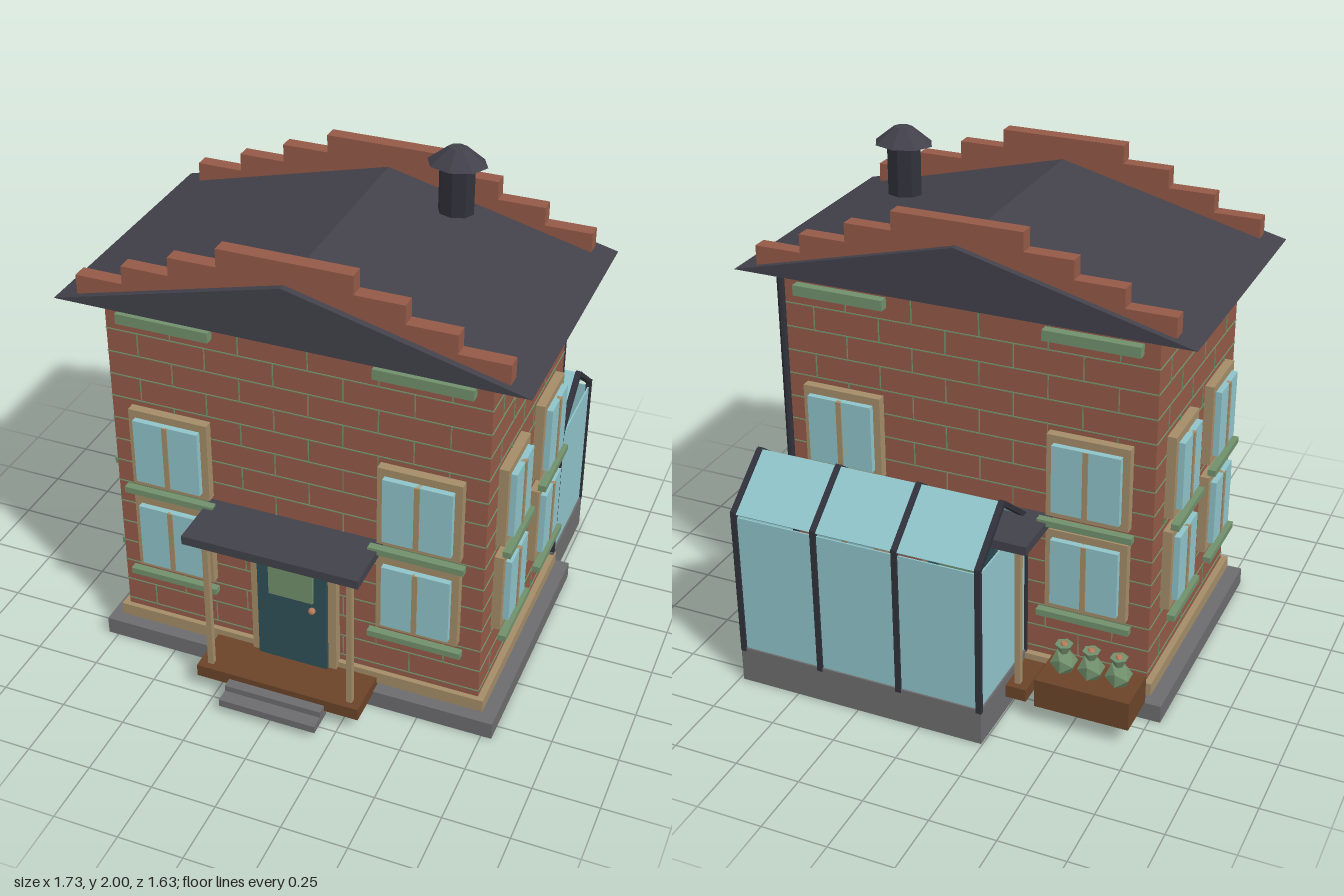
import * as THREE from 'three';

const mat = (name, color) => {
  const m = new THREE.MeshStandardMaterial({ color, flatShading: true });
  m.name = name;
  return m;
};

export function createModel() {
  const M = {
    brick: mat('brick red', 0x935947),
    slate: mat('slate grey', 0x42414b),
    iron: mat('dark iron', 0x30313a),
    tan: mat('tan timber', 0xa38c68),
    green: mat('sage green', 0x71906c),
    glass: mat('pale glass', 0x8ec3c9),
    door: mat('door teal', 0x2f5058),
    stone: mat('stone grey', 0x6c6c6e),
    wood: mat('brown wood', 0x6b4428),
    copper: mat('copper', 0xb57a5a),
  };
  const root = new THREE.Group();
  root.name = 'house';

  const add = (parent, name, geo, material) => {
    const m = new THREE.Mesh(geo, material);
    m.name = name;
    parent.add(m);
    return m;
  };
  // box given by its extents on each axis
  const box = (parent, name, material, [x0, x1], [y0, y1], [z0, z1]) => {
    const m = add(parent, name, new THREE.BoxGeometry(x1 - x0, y1 - y0, z1 - z0), material);
    m.position.set((x0 + x1) / 2, (y0 + y1) / 2, (z0 + z1) / 2);
    return m;
  };
  const group = (parent, name) => {
    const g = new THREE.Group();
    g.name = name;
    parent.add(g);
    return g;
  };

  // main body
  const W = 0.715, D = 0.45, CZ = 0.065;
  box(root, 'plinth', M.stone, [-0.79, 0.79], [0, 0.07], [-0.44, 0.57]);
  box(root, 'walls', M.brick, [-W, W], [0.09, 1.515], [CZ - D, CZ + D]);
  box(root, 'baseBand', M.tan, [-0.74, 0.74], [0.085, 0.135], [-0.41, 0.535]);

  // gabled roof
  const gable = new THREE.Shape([[-0.865, 1.515], [0.865, 1.515], [0, 1.735]].map(p => new THREE.Vector2(...p)));
  const roof = add(root, 'roof', new THREE.ExtrudeGeometry(gable, { depth: 1.065, bevelEnabled: false }), M.slate);
  roof.position.z = -0.467;

  // stepped parapets
  for (const z of [0.515, -0.442]) {
    const g = group(root, 'steppedParapet');
    [[0.245, 1.82], [0.425, 1.75], [0.605, 1.68], [0.785, 1.61]].forEach(([x, top], i) => {
      if (i === 0) return box(g, 'parapetCentre', M.brick, [-x, x], [1.53, top], [z, z + 0.057]);
      for (const s of [-1, 1]) {
        const a = s * (x - 0.18), b = s * x;
        box(g, 'parapetStep', M.brick, [Math.min(a, b), Math.max(a, b)], [1.53, top], [z, z + 0.057]);
      }
    });
  }

  // chimney pot
  const chimney = group(root, 'chimney');
  chimney.position.set(0.36, 0, -0.1);
  chimney.scale.z = 0.82;
  add(chimney, 'chimneyPipe', new THREE.CylinderGeometry(0.066, 0.066, 0.19, 8), M.iron).position.y = 1.85;
  add(chimney, 'chimneyCap', new THREE.CylinderGeometry(0.035, 0.11, 0.06, 8), M.slate).position.y = 1.97;

  // window in a wall's own frame: wall surface at z = 0, facing +z
  const addWindow = (g, cx, y, w) => {
    const h = w / 2, win = group(g, 'window');
    win.position.set(cx, y, 0);
    box(win, 'windowFrame', M.tan, [-h, h], [0.03, 0.355], [0, 0.035]);
    box(win, 'windowGlass', M.glass, [-h + 0.027, h - 0.027], [0.06, 0.325], [0.035, 0.058]);
    box(win, 'windowMullion', M.tan, [-0.01, 0.01], [0.06, 0.325], [0.035, 0.063]);
    box(win, 'windowSill', M.green, [-h - 0.023, h + 0.023], [0, 0.025], [0.035, 0.065]);
  };

  // thin mortar lines in a running bond
  const addMortar = (g, half) => {
    const bond = group(g, 'mortar');
    for (let i = 0; i < 15; i++) {
      const y = 0.162 + i * 0.094;
      box(bond, 'bedJoint', M.green, [-half, half], [y - 0.002, y + 0.002], [-0.002, 0.003]);
      for (let x = -half + 0.12 + (i % 2) * 0.13; x < half - 0.03; x += 0.26) {
        box(bond, 'headJoint', M.green, [x - 0.002, x + 0.002], [y, Math.min(y + 0.094, 1.51)], [-0.002, 0.003]);
      }
    }
  };

  // door with canopy, posts, deck and steps
  const addPorch = (g) => {
    const p = group(g, 'porch');
    box(p, 'doorFrame', M.tan, [-0.17, 0.17], [0.11, 0.685], [0, 0.035]);
    box(p, 'door', M.door, [-0.138, 0.138], [0.112, 0.648], [0.03, 0.05]);
    box(p, 'doorPanel', M.green, [-0.088, 0.088], [0.42, 0.55], [0.05, 0.062]);
    add(p, 'doorKnob', new THREE.IcosahedronGeometry(0.014, 1), M.copper).position.set(0.085, 0.387, 0.062);
    box(p, 'canopy', M.slate, [-0.338, 0.338], [0.705, 0.74], [0, 0.242]);
    for (const x of [-0.28, 0.28]) {
      box(p, 'porchPost', M.tan, [x - 0.011, x + 0.011], [0.11, 0.705], [0.16, 0.182]);
    }
    box(p, 'porchDeck', M.wood, [-0.325, 0.325], [0.06, 0.11], [0.01, 0.208]);
    box(p, 'upperStep', M.stone, [-0.192, 0.192], [0.058, 0.085], [0.09, 0.247]);
    box(p, 'lowerStep', M.stone, [-0.192, 0.192], [0.03, 0.06], [0.19, 0.3]);
  };

  // four facades: angle, distance, half width, window columns, window width
  const facades = [
    ['frontFacade', 0, D, W, [-0.48, 0.48], 0.31],
    ['backFacade', Math.PI, D, W, [-0.48, 0.48], 0.31],
    ['leftFacade', Math.PI / 2, W, D, [-0.213, 0.213], 0.25],
    ['rightFacade', -Math.PI / 2, W, D, [-0.213, 0.213], 0.25],
  ];
  for (const [name, angle, dist, half, columns, width] of facades) {
    const g = group(root, name);
    g.rotation.y = angle;
    g.position.set(Math.sin(angle) * dist, 0, CZ + Math.cos(angle) * dist);
    addMortar(g, half);
    for (const x of columns) {
      addWindow(g, x, 0.345, width);
      addWindow(g, x, 0.725, width);
      const h = width / 2 + 0.023;
      box(g, 'lintel', M.green, [x - h, x + h], [1.43, 1.47], [0, 0.035]);
    }
    if (half === W) addPorch(g);
  }

  // drainpipe
  const pipe = add(root, 'drainpipe', new THREE.CylinderGeometry(0.014, 0.014, 1.39, 8), M.iron);
  pipe.position.set(0.695, 0.82, -0.435);

  // greenhouse: side profile runs wall, ridge, outer eave
  const gh = group(root, 'greenhouse');
  box(gh, 'greenhouseBase', M.stone, [-0.245, 0.735], [0, 0.145], [-0.81, -0.385]);
  box(gh, 'longGlass', M.glass, [-0.235, 0.725], [0.145, 0.705], [-0.803, -0.797]);
  for (const x of [-0.235, 0.725]) {
    box(gh, 'endGlass', M.glass, [x - 0.003, x + 0.003], [0.145, 0.7], [-0.8, -0.395]);
  }
  const slope = (name, material, [x0, x1], s, t) => {
    const run = 0.205, rise = 0.16;
    const m = box(gh, name, material, [x0, x1], [-t / 2, t / 2], [-0.132, 0.132]);
    m.position.y = 0.72 + rise / 2;
    m.position.z = -0.6 + s * run / 2;
    m.rotation.x = s * Math.atan2(rise, run);
  };
  for (const s of [-1, 1]) slope('roofGlass', M.glass, [-0.235, 0.725], s, 0.006);
  for (const x of [-0.235, 0.082, 0.402, 0.725]) {
    for (const z of [-0.803, -0.397]) {
      box(gh, 'frameUpright', M.iron, [x - 0.011, x + 0.011], [0.13, 0.73], [z - 0.008, z + 0.008]);
    }
    for (const s of [-1, 1]) slope('frameRafter', M.iron, [x - 0.011, x + 0.011], s, 0.018);
  }

  // planter with three plants
  const planter = group(root, 'planter');
  box(planter, 'planterBox', M.wood, [-0.73, -0.37], [0.075, 0.19], [-0.622, -0.44]);
  for (const x of [-0.655, -0.55, -0.445]) {
    const plant = group(planter, 'plant');
    plant.position.set(x, 0.19, -0.525);
    add(plant, 'leaves', new THREE.IcosahedronGeometry(0.052, 0), M.green).position.y = 0.04;
    add(plant, 'leafCrown', new THREE.CylinderGeometry(0.034, 0.014, 0.04, 6), M.green).position.y = 0.095;
    add(plant, 'bloom', new THREE.IcosahedronGeometry(0.018, 0), M.copper).position.y = 0.11;
  }
  return root;
}
